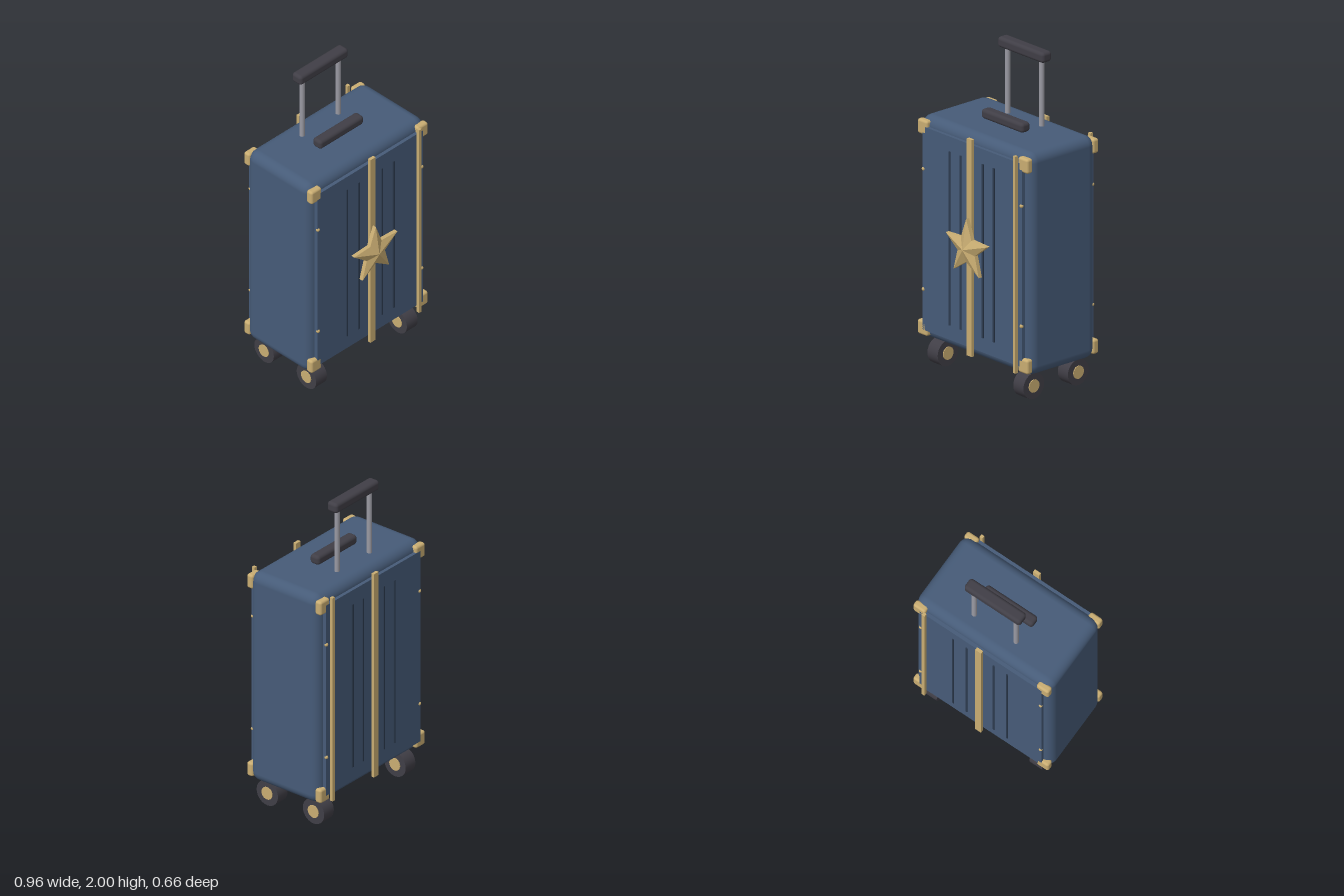
import * as THREE from 'three';
import { RoundedBoxGeometry } from 'three/addons/geometries/RoundedBoxGeometry.js';

const material = (name, color) => {
  const m = new THREE.MeshStandardMaterial({ color });
  m.name = name;
  return m;
};

export function createModel() {
  const group = new THREE.Group();
  const navy = material('navy shell', 0x465b78);
  const darkNavy = material('dark navy ribs', 0x2c3a4e);
  const gold = material('gold trim', 0xc9ad72);
  const charcoal = material('charcoal rubber', 0x403e46);
  const steel = material('steel tube', 0x9a9aa3);

  const add = (name, geometry, mat, x, y, z) => {
    const mesh = new THREE.Mesh(geometry, mat);
    mesh.name = name;
    mesh.position.set(x, y, z);
    group.add(mesh);
    return mesh;
  };
  const box = (w, h, d) => new THREE.BoxGeometry(w, h, d);
  const rounded = (w, h, d, r) => new RoundedBoxGeometry(w, h, d, 4, r);

  // Shell; everything on it is mirrored about its middle plane
  const midY = 0.85, midZ = -0.028;
  add('shell', rounded(0.96, 1.368, 0.515, 0.06), navy, 0, midY, midZ);

  for (const side of [1, -1]) {
    const face = side > 0 ? 'front' : 'back';
    const at = (d) => midZ + side * d;

    // Raised panel with four ribs
    add(face + 'Panel', box(0.86, 1.25, 0.04), navy, 0, midY, at(0.259));
    for (const x of [-0.19, -0.095, 0.095, 0.19])
      add(face + 'Rib', box(0.011, 1.07, 0.012), darkNavy, x, midY, at(0.279));

    // Centre strap and narrow side strip
    add(face + 'Strap', box(0.042, 1.335, 0.02), gold, 0, midY, at(0.292));
    add(face + 'Strip', box(0.02, 1.335, 0.02), gold, 0.387, midY, at(0.292));

    for (const sx of [-1, 1]) {
      // Corner guards
      for (const sy of [-1, 1])
        add(face + 'CornerGuard', rounded(0.085, 0.09, 0.046, 0.015), gold,
          sx * 0.434, midY + sy * 0.617, at(0.256));
      // Rivets
      for (const y of [0.475, 1.215])
        add(face + 'Rivet', new THREE.SphereGeometry(0.012, 12, 8), gold, sx * 0.422, y, at(0.275));

      // Wheels with hubs that show on both sides
      const tyre = new THREE.CylinderGeometry(0.08, 0.08, 0.088, 28).rotateZ(Math.PI / 2);
      const hub = new THREE.CylinderGeometry(0.04, 0.04, 0.098, 20).rotateZ(Math.PI / 2);
      add(face + 'Wheel', tyre, charcoal, sx * 0.37, 0.081, at(0.173));
      add(face + 'WheelHub', hub, gold, sx * 0.37, 0.081, at(0.173));
    }
  }

  // Star ornament
  add('star', starGeometry(0.185, 0.078, 0.025, 0.055), gold, 0, 0.847, 0.273);

  // Carry handle and pull handle
  add('carryHandle', rounded(0.358, 0.06, 0.068, 0.02), charcoal, 0, 1.566, -0.01);
  add('pullHandle', rounded(0.395, 0.065, 0.076, 0.02), charcoal, 0, 1.9675, -0.157);
  for (const x of [-0.147, 0.147])
    add('pullTube', new THREE.CylinderGeometry(0.016, 0.016, 0.45, 16), steel, x, 1.725, -0.157);

  return group;
}

// Five-pointed star: flat back, upright rim, faceted peak
function starGeometry(outer, inner, rim, peak) {
  const p = [];
  const point = (i, z) => {
    const r = i % 2 ? inner : outer;
    const a = Math.PI / 2 + (i * Math.PI) / 5;
    return [r * Math.cos(a), r * Math.sin(a), z];
  };
  for (let i = 0; i < 10; i++) {
    const a0 = point(i, 0), b0 = point(i + 1, 0);
    const a1 = point(i, rim), b1 = point(i + 1, rim);
    p.push(...a1, ...b1, 0, 0, peak);
    p.push(...a0, ...b0, ...b1, ...a0, ...b1, ...a1);
    p.push(...b0, ...a0, 0, 0, 0);
  }
  const g = new THREE.BufferGeometry();
  g.setAttribute('position', new THREE.Float32BufferAttribute(p, 3));
  g.computeVertexNormals();
  return g;
}
